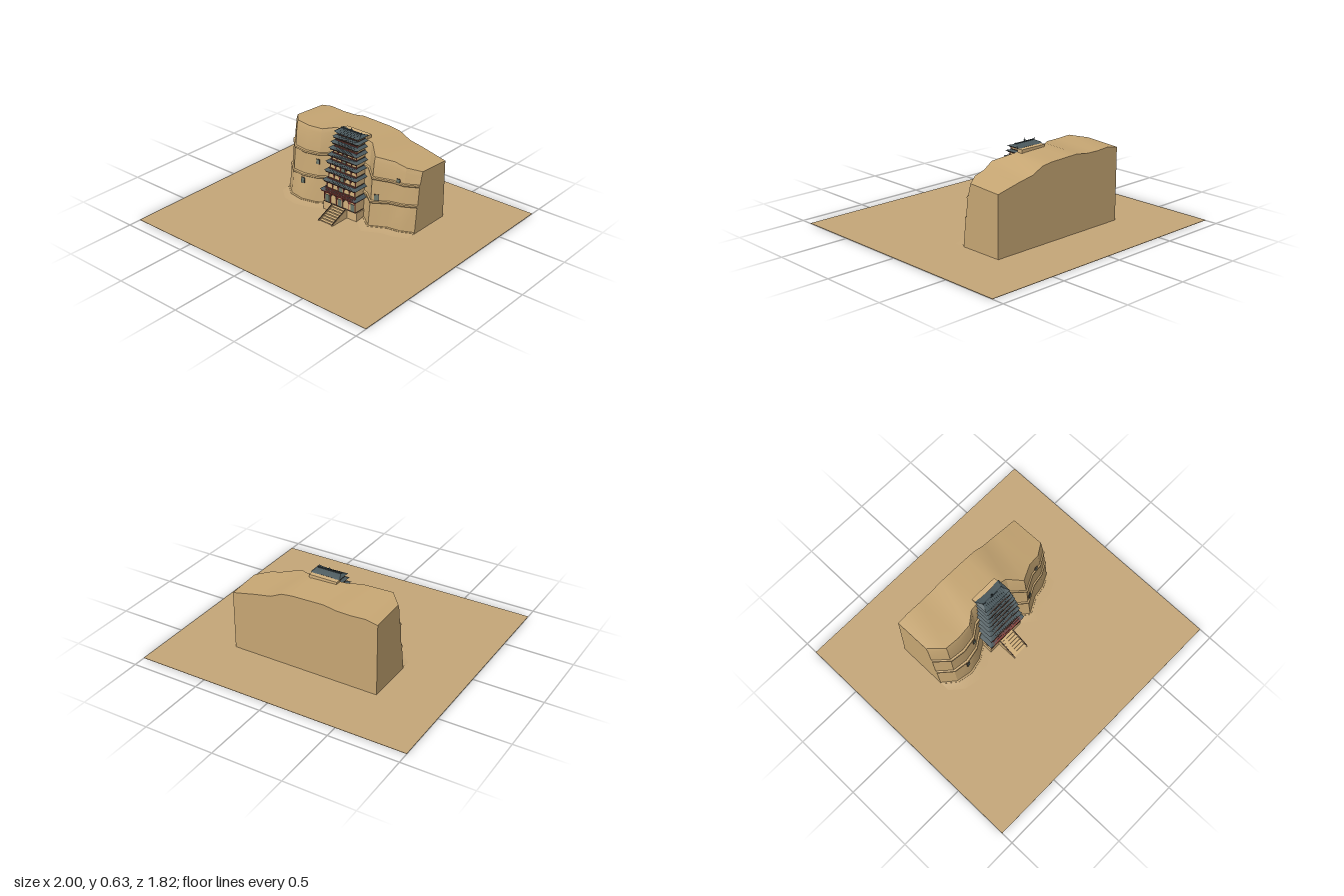
import * as THREE from 'three';
import { toCreasedNormals } from 'three/addons/utils/BufferGeometryUtils.js';

const mat = (name, color, side = THREE.FrontSide) => {
  const m = new THREE.MeshStandardMaterial({ color, side });
  m.name = name;
  return m;
};

export function createModel() {
  const sand = mat('sand', 0xc4a678), cliffMat = mat('sandstone', 0xc6a673);
  const wall = mat('plaster', 0xd2b07c), slate = mat('slate tile', 0x4c5a5e);
  const rib = mat('dark tile', 0x39454a), red = mat('red timber', 0x8c4038);
  const dark = mat('dark timber', 0x43332b), pane = mat('grey green shutter', 0x687468);
  const model = new THREE.Group();
  model.name = 'cliffTemple';

  const add = (parent, name, geo, material, x = 0, y = 0, z = 0) => {
    const m = new THREE.Mesh(geo, material);
    m.name = name;
    m.position.set(x, y, z);
    parent.add(m);
    return m;
  };
  // box given by its ranges
  const box = (parent, name, material, x0, x1, y0, y1, z0, z1) =>
    add(parent, name, new THREE.BoxGeometry(x1 - x0, y1 - y0, z1 - z0), material,
      (x0 + x1) / 2, (y0 + y1) / 2, (z0 + z1) / 2);

  // surface through a grid of points, rows[column][level]
  const gridGeometry = (cols, extra = []) => {
    const pos = [...extra];
    for (let i = 0; i < cols.length - 1; i++) {
      for (let j = 0; j < cols[i].length - 1; j++) {
        const a = cols[i][j], b = cols[i + 1][j], c = cols[i + 1][j + 1], d = cols[i][j + 1];
        pos.push(...a, ...b, ...c, ...a, ...c, ...d);
      }
    }
    const g = new THREE.BufferGeometry();
    g.setAttribute('position', new THREE.Float32BufferAttribute(pos, 3));
    g.computeVertexNormals();
    return toCreasedNormals(g, 0.42);
  };

  box(model, 'ground', sand, -1, 1, 0, 0.003, -0.91, 0.91);

  // Cliff outline: x, front z at the foot, front z at the brow, height
  const outline = [
    [-0.55, -0.12, -0.21, 0.54], [-0.46, -0.045, -0.115, 0.557], [-0.35, -0.025, -0.108, 0.55],
    [-0.24, -0.05, -0.12, 0.553], [-0.16, -0.1, -0.18, 0.567], [-0.08, -0.13, -0.19, 0.565],
    [0.08, -0.13, -0.19, 0.56], [0.16, -0.1, -0.175, 0.55], [0.25, -0.03, -0.095, 0.507],
    [0.37, -0.095, -0.155, 0.485], [0.46, -0.11, -0.165, 0.465], [0.55, -0.155, -0.222, 0.445]];
  const back = -0.48;
  const ledges = ([x, , , h]) => [0.198 + 0.008 * Math.sin(x * 9 + 3), 0.37 + (h - 0.52) * 0.22 + 0.01 * Math.cos(x * 8)];
  const front = outline.map((o) => {
    const [x, zb, zt, h] = o, [l1, l2] = ledges(o);
    return [[0, 0], [l1 - 0.014, 0.3], [l1 - 0.007, 0.2], [l1 + 0.002, 0.24], [l1 + 0.006, 0.42],
      [l2 - 0.014, 0.6], [l2 - 0.007, 0.5], [l2 + 0.002, 0.54], [l2 + 0.006, 0.72],
      [h - 0.03, 0.93], [h, 1.08]].map(([y, t]) => [x, y, zb + (zt - zb) * t]);
  });
  const ends = [];
  for (const [col, flip] of [[front[0], true], [front.at(-1), false]]) {
    for (let j = 0; j < col.length - 1; j++) {
      const h = col.at(-1)[1], a = col[j], d = col[j + 1];
      const b = [a[0], a[1] * (h - 0.015) / h, back], c = [d[0], d[1] * (h - 0.015) / h, back];
      ends.push(...(flip ? [a, c, b, a, d, c] : [a, b, c, a, c, d]).flat());
    }
  }
  const cliffCols = front.map((c) => [...c, [c[0][0], c.at(-1)[1] - 0.015, back], [c[0][0], 0, back]]);
  add(model, 'cliff', gridGeometry(cliffCols, ends), cliffMat);
  // Foot ledge and drifted sand along the cliff
  add(model, 'cliffFoot', gridGeometry(outline.map(([x, z]) =>
    [[x, 0, z + 0.014], [x, 0.012, z + 0.01], [x, 0.016, z - 0.01]])), cliffMat);
  add(model, 'sandDrift', gridGeometry(outline.map(([x, z]) =>
    [[x, 0.0032, z + 0.075], [x, 0.006, z + 0.035], [x, 0.012, z]])), sand);

  // Cave openings, set on the cliff face
  const caveZ = (x, y) => {
    const i = outline.findIndex((o, k) => k < outline.length - 1 && x < outline[k + 1][0]);
    const t = (x - outline[i][0]) / (outline[i + 1][0] - outline[i][0]);
    const at = (col) => {
      const j = col.findIndex((p, k) => k < col.length - 1 && y < col[k + 1][1]);
      return THREE.MathUtils.mapLinear(y, col[j][1], col[j + 1][1], col[j][2], col[j + 1][2]);
    };
    const za = at(front[i]), zb = at(front[i + 1]);
    return [za + (zb - za) * t, -Math.atan2(zb - za, outline[i + 1][0] - outline[i][0])];
  };
  for (const [x, y, w, h] of [[-0.245, 0.315, 0.026, 0.036], [-0.35, 0.152, 0.028, 0.042],
    [0.285, 0.222, 0.034, 0.044], [0.415, 0.36, 0.028, 0.036]]) {
    const [z, turn] = caveZ(x, y);
    const cave = new THREE.Group();
    cave.name = 'caveOpening';
    cave.position.set(x, y, z + 0.002);
    cave.rotation.set(-0.12, turn, 0, 'YXZ');
    box(cave, 'caveFrame', dark, -w / 2, w / 2, -h / 2, h / 2, -0.004, 0.003);
    box(cave, 'caveShutter', pane, -w / 2 + 0.002, w / 2 - 0.002, -h / 2 + 0.002, h / 2 - 0.002, 0, 0.005);
    model.add(cave);
  }

  // Podium and stair
  const tower = new THREE.Group();
  tower.name = 'tower';
  model.add(tower);
  box(tower, 'podium', wall, -0.148, 0.148, 0, 0.066, -0.2, -0.03);
  const steps = 7;
  for (let i = 0; i < steps; i++) {
    box(tower, 'step', wall, -0.055, 0.055, 0, 0.064 * (i + 1) / steps, -0.03, 0.115 - 0.145 * i / steps);
    box(tower, 'stepEdge', dark, -0.054, 0.054, 0.064 * (i + 1) / steps - 0.002,
      0.064 * (i + 1) / steps - 0.0005, 0.113 - 0.145 * i / steps, 0.1155 - 0.145 * i / steps);
  }
  const cheek = new THREE.Shape([[0.03, 0], [-0.125, 0], [-0.125, 0.008], [0.02, 0.07], [0.03, 0.07]]
    .map(([x, y]) => new THREE.Vector2(x, y)));
  for (const s of [-1, 1]) {
    const g = new THREE.ExtrudeGeometry(cheek, { depth: 0.01, bevelEnabled: false });
    add(tower, 'stairCheek', g, wall, s * 0.06 - 0.005).rotation.y = Math.PI / 2;
    const rail = add(tower, 'stairRail', new THREE.BoxGeometry(0.005, 0.004, 0.157), dark, s * 0.06, 0.041, 0.0525);
    rail.rotation.x = Math.atan2(0.062, 0.145);
  }

  // Eave roof: a box whose top is drawn in and whose corners sweep up
  const roofGeometry = (w, z0, z1, h, inX, inF, inB) => {
    const g = new THREE.BoxGeometry(2 * w, h, z1 - z0, 12, 1, 1), p = g.attributes.position;
    for (let i = 0; i < p.count; i++) {
      const x = p.getX(i), top = p.getY(i) > 0, f = p.getZ(i) > 0;
      const y = top ? h : 0.008 * Math.pow(Math.abs(x) / w, 4);
      p.setXYZ(i, top ? x * (w - inX) / w : x, y, f ? z1 - (top ? inF : 0) : z0 + (top ? inB : 0));
    }
    g.computeVertexNormals();
    return toCreasedNormals(g, 0.5);
  };
  const tileRibs = (parent, w, y, z, h, run, inX, n) => {
    const len = Math.hypot(h, run);
    for (let i = 0; i < n; i++) {
      const x = (i / (n - 1) * 2 - 1) * (w - inX);
      const r = add(parent, 'tileRib', new THREE.BoxGeometry(0.004, 0.004, len), rib, x, y + h / 2, z - run / 2);
      r.rotation.x = Math.atan2(h, run);
    }
  };

  // Storeys: eave height, eave half width, eave front z
  const storeys = [[0.155, 0.163, -0.008], [0.228, 0.15, -0.02], [0.298, 0.146, -0.033], [0.362, 0.142, -0.044],
    [0.414, 0.134, -0.054], [0.463, 0.128, -0.062], [0.505, 0.122, -0.074], [0.543, 0.116, -0.087]];
  const addStorey = (y0, y1, w, z, bays) => {
    const g = new THREE.Group();
    g.name = 'storey';
    tower.add(g);
    const h = y1 - y0;
    box(g, 'storeyWall', wall, -w, w, y0, y1, -0.215, z);
    box(g, 'beam', red, -w - 0.004, w + 0.004, y1 - 0.1 * h - 0.004, y1, -0.2, z + 0.006);
    box(g, 'bracketBand', dark, -w - 0.008, w + 0.008, y1 - 0.004, y1 + 0.001, -0.2, z + 0.012);
    box(g, 'sill', dark, -w - 0.003, w + 0.003, y0, y0 + 0.004, -0.2, z + 0.006);
    const bay = 2 * w / bays, bh = h * 0.8;
    for (let i = 0; i <= bays; i++) {
      add(g, 'column', new THREE.CylinderGeometry(0.0028, 0.0028, h, 8), red,
        (-w + i * bay) * 0.985, (y0 + y1) / 2, z + 0.003);
    }
    for (let i = 0; i < bays; i++) {
      const x = -w + (i + 0.5) * bay, r = bay * 0.36, spring = Math.max(bh - r, bh * 0.3);
      // arched spandrel over each bay
      const s = new THREE.Shape();
      s.moveTo(-bay / 2, spring);
      s.lineTo(-r, spring);
      s.absellipse(0, spring, r, bh - spring, Math.PI, 0, true);
      s.lineTo(bay / 2, spring);
      s.lineTo(bay / 2, bh + 0.006);
      s.lineTo(-bay / 2, bh + 0.006);
      add(g, 'archSpandrel', new THREE.ExtrudeGeometry(s, { depth: 0.003, bevelEnabled: false, curveSegments: 8 }),
        i % 2 ? dark : red, x, y0, z);
      if (i === (bays - 1) / 2 || (bays === 5 && h > 0.08 && i % 4 === 0)) {
        box(g, 'shutter', pane, x - r * 0.8, x + r * 0.8, y0 + 0.003, y0 + bh * 0.82, z, z + 0.003);
      }
    }
  };
  let floor = 0.066;
  storeys.forEach(([y, w, z], i) => {
    const body = w - 0.024, zf = z - 0.024;
    addStorey(floor, y, body, zf, 5);
    add(tower, 'eaveRoof', roofGeometry(w, -0.2, z, 0.018, 0.03, 0.034, 0), slate, 0, y);
    tileRibs(tower, w, y, z, 0.018, 0.034, 0.03, 17);
    box(tower, 'eaveEdge', i ? dark : red, -w + 0.015, w - 0.015, y - 0.001, y + 0.004, z - 0.01, z + 0.002);
    // balcony rail of the storey above
    box(tower, 'balconyRail', red, -w + 0.026, w - 0.026, y + 0.017, y + 0.021, z - 0.03, z - 0.026);
    floor = y + 0.018;
  });
  // Red tile courses on the lowest roof
  for (let k = 0; k < 3; k++) {
    box(tower, 'redCourse', red, -0.148 + k * 0.006, 0.148 - k * 0.006, 0.157 + k * 0.004, 0.162 + k * 0.004,
      -0.021 - k * 0.008, -0.014 - k * 0.008);
  }

  // Crowning pavilion
  addStorey(floor, 0.58, 0.09, -0.118, 5);
  box(tower, 'rearCornice', wall, -0.105, 0.105, 0.555, 0.58, -0.235, -0.19);
  add(tower, 'crownRoof', roofGeometry(0.112, -0.205, -0.098, 0.022, 0.025, 0.048, 0.048), slate, 0, 0.578);
  tileRibs(tower, 0.112, 0.578, -0.098, 0.022, 0.048, 0.025, 13);
  box(tower, 'ridge', rib, -0.088, 0.088, 0.598, 0.605, -0.156, -0.147);
  for (const s of [-1, 1]) {
    add(tower, 'ridgeHorn', new THREE.ConeGeometry(0.005, 0.018, 6), rib, s * 0.087, 0.608, -0.1515).rotation.z = -s * 0.4;
  }
  const finial = [[0, 0], [0.008, 0], [0.005, 0.006], [0.007, 0.011], [0.002, 0.016], [0, 0.03]]
    .map(([x, y]) => new THREE.Vector2(x, y));
  add(tower, 'finial', new THREE.LatheGeometry(finial, 10), rib, 0, 0.603, -0.1515);

  return model;
}
